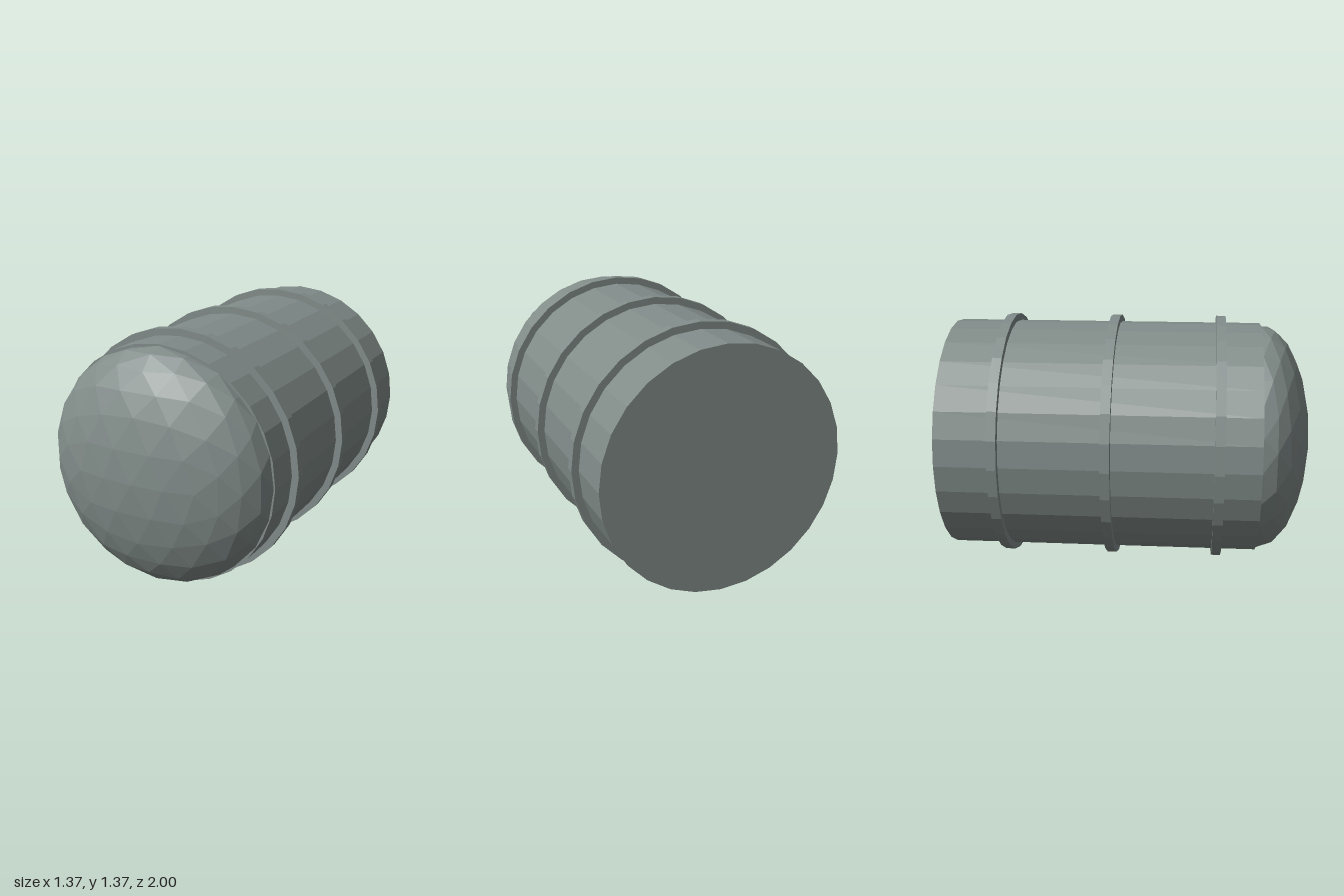
import * as THREE from 'three';

const SIDES = 28;
const AXIS_Y = 0.686;
const BODY_FRONT = 0.71;

export function createModel() {
  const model = new THREE.Group();
  model.name = 'bandedBarrel';
  const metal = new THREE.MeshStandardMaterial({ color: 0x818c89, flatShading: true });
  metal.name = 'grey metal';

  const add = (name, geometry, z) => {
    const mesh = new THREE.Mesh(geometry, metal);
    mesh.name = name;
    mesh.position.set(0, AXIS_Y, z);
    model.add(mesh);
  };

  // Closed drum lying along z
  const drum = (radius, length) =>
    new THREE.CylinderGeometry(radius, radius, length, SIDES).rotateX(Math.PI / 2);

  // Main body
  add('body', drum(0.648, BODY_FRONT + 1), (BODY_FRONT - 1) / 2);

  // Three raised bands
  [0.49, -0.098, -0.685].forEach((z, i) => add(`band${i + 1}`, drum(0.686, 0.052), z));

  // Domed nose: an icosphere split twice by midpoints, squashed along z
  const coarse = new THREE.IcosahedronGeometry(1, 1);
  const points = Array.from(coarse.attributes.position.array);
  const faces = points.slice(0, points.length / 3).map((_, i) => i);
  const dome = new THREE.PolyhedronGeometry(points, faces, 0.64, 1);
  dome.rotateZ(Math.PI / 2).scale(1, 1, 0.29 / 0.64);
  add('nose', dome, BODY_FRONT);

  return model;
}
